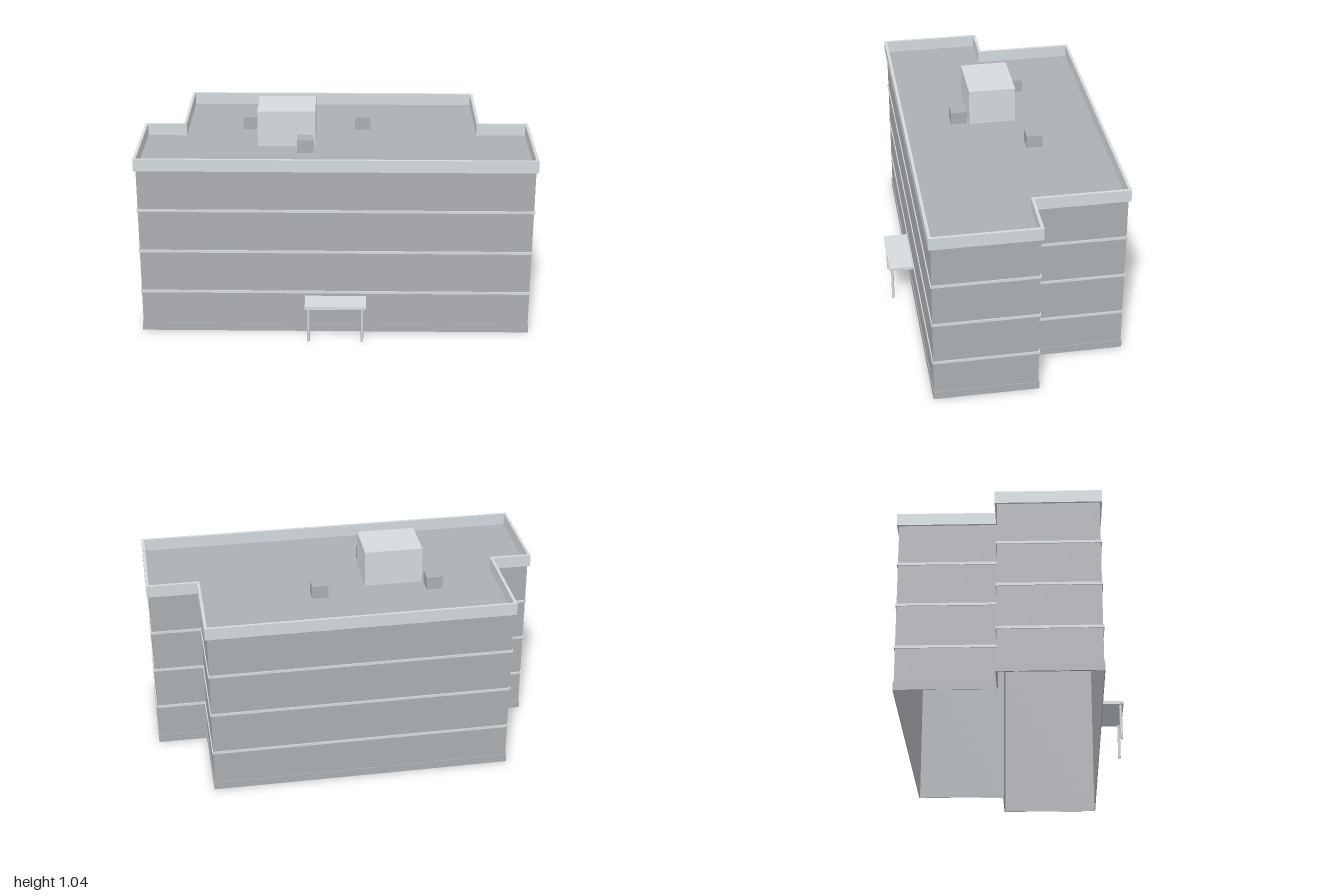
import * as THREE from 'three';

// Footprint corners: [u, v, outward sign of u, outward sign of v]
const FOOTPRINT = [
  [-0.916, 0.451, -1, 1], [1.017, 0.451, 1, 1],
  [1.017, -0.069, 1, -1], [0.771, -0.069, 1, -1],
  [0.771, -0.526, 1, -1], [-0.72, -0.526, -1, -1],
  [-0.72, -0.05, -1, -1], [-0.915, -0.05, -1, -1],
];
const WALL_INSET = 0.011;
const ROOF = 0.857;

// Footprint moved inwards by d
const outline = (d) => FOOTPRINT.map(([u, v, su, sv]) => new THREE.Vector2(u - su * d, -(v - sv * d)));

// Hollow ring following the footprint
function ring(inset, holeInset, y0, y1) {
  const shape = new THREE.Shape(outline(inset));
  shape.holes.push(new THREE.Path(outline(holeInset)));
  const geo = new THREE.ExtrudeGeometry(shape, { depth: y1 - y0, bevelEnabled: false });
  return geo.rotateX(-Math.PI / 2).translate(0, y0, 0);
}

// Single-sheet walls, open at the top and bottom
function wallSheet(inset, y0, y1) {
  const pts = outline(inset);
  const pos = [];
  pts.forEach((a, i) => {
    const b = pts[(i + 1) % pts.length];
    const [a0, b0, a1, b1] = [[a, y0], [b, y0], [a, y1], [b, y1]].map(([p, y]) => [p.x, y, -p.y]);
    pos.push(...a0, ...b0, ...b1, ...a0, ...b1, ...a1);
  });
  const geo = new THREE.BufferGeometry();
  geo.setAttribute('position', new THREE.Float32BufferAttribute(pos, 3));
  geo.computeVertexNormals();
  return geo;
}

// Box standing on y0
function block(w, h, d, u, y0, v) {
  return new THREE.BoxGeometry(w, h, d).translate(u, y0 + h / 2, v);
}

export function createModel() {
  const wallGrey = new THREE.MeshStandardMaterial({ color: 0xacafb3, side: THREE.DoubleSide });
  wallGrey.name = 'wallGrey';
  const trimGrey = new THREE.MeshStandardMaterial({ color: 0xd4dade });
  trimGrey.name = 'trimGrey';

  const building = new THREE.Group();
  building.name = 'building';
  const add = (name, geo, mat) => {
    const mesh = new THREE.Mesh(geo, mat);
    mesh.name = name;
    building.add(mesh);
  };

  // Hollow shell, open underneath: walls, flat roof, plinth and parapet
  add('walls', wallSheet(WALL_INSET, 0, ROOF), wallGrey);
  const roof = new THREE.ShapeGeometry(new THREE.Shape(outline(WALL_INSET)));
  add('roof', roof.rotateX(-Math.PI / 2).translate(0, ROOF, 0), wallGrey);
  add('plinth', ring(0.007, WALL_INSET - 0.0005, 0, 0.04), wallGrey);
  add('parapet', ring(0, 0.014, ROOF, 0.918), trimGrey);

  // Floor bands
  [0.216, 0.434, 0.65].forEach((y, i) => {
    add(`floorBand${i + 1}`, ring(0.006, WALL_INSET - 0.0005, y - 0.0065, y + 0.0065), trimGrey);
  });

  // Rooftop penthouse and small vents
  add('penthouse', block(0.286, 0.182, 0.232, -0.196, ROOF + 0.001, -0.006), trimGrey);
  [[-0.386, -0.171], [0.183, -0.172], [-0.101, 0.161]].forEach(([u, v], i) => {
    add(`roofVent${i + 1}`, block(0.079, 0.065, 0.079, u, ROOF + 0.001, v), wallGrey);
  });

  // Entrance canopy on two posts
  add('canopy', block(0.299, 0.015, 0.122, 0.0515, 0.18, 0.502), trimGrey);
  [-0.08, 0.183].forEach((u, i) => {
    const post = new THREE.CylinderGeometry(0.0065, 0.0065, 0.18, 8).translate(u, 0.09, 0.548);
    add(`canopyPost${i + 1}`, post, trimGrey);
  });

  // The whole building stands turned on its plot
  building.rotation.y = -THREE.MathUtils.degToRad(14.55);

  const model = new THREE.Group();
  model.name = 'officeBlock';
  model.add(building);
  return model;
}
